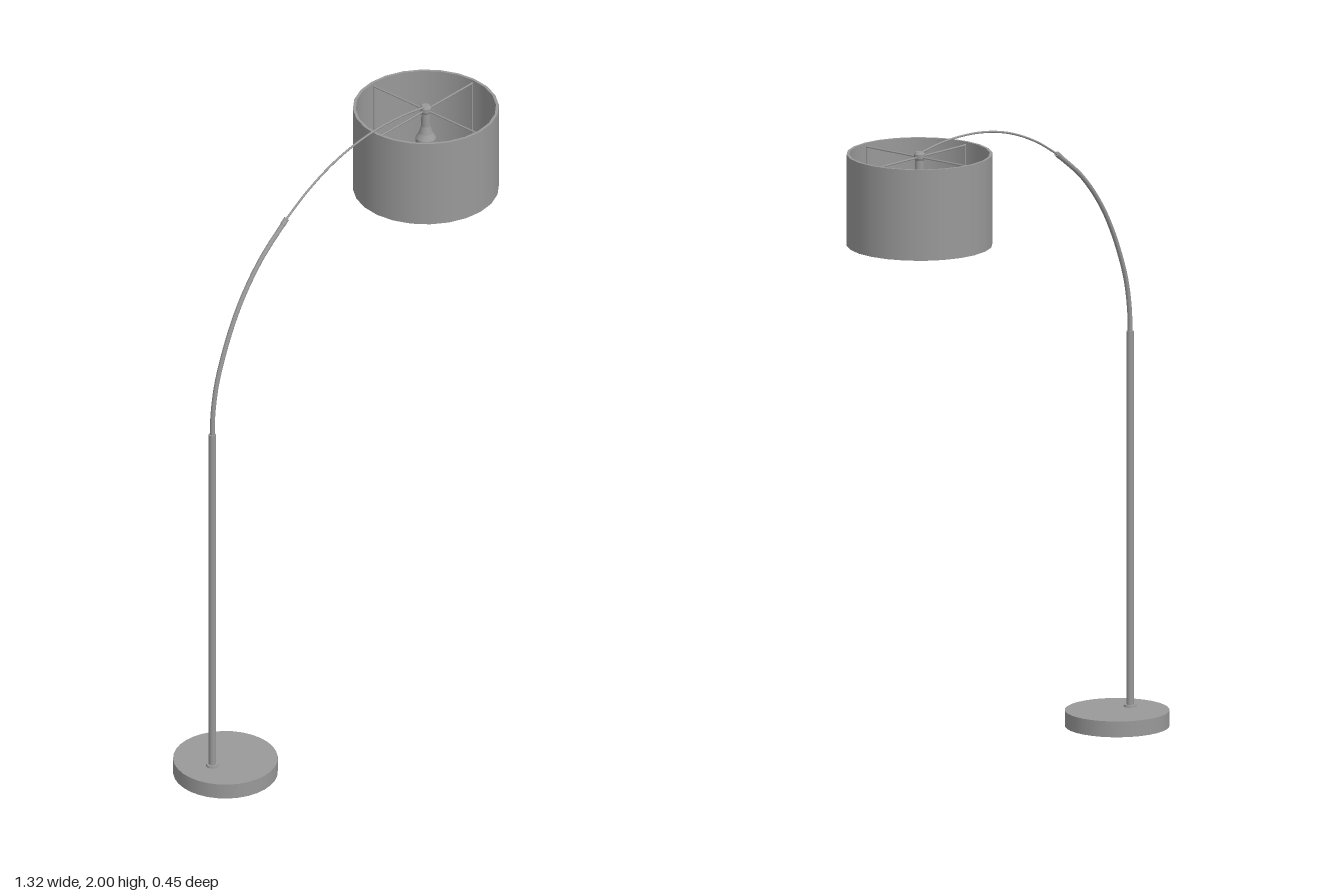
import * as THREE from 'three';

const material = new THREE.MeshStandardMaterial({ color: 0x999999, side: THREE.DoubleSide });
const POLE_X = -0.559, SHADE_X = 0.433, SHADE_R = 0.226, SHADE_BOTTOM = 1.688, SHADE_TOP = 1.976;

const v = (x, y, z = 0) => new THREE.Vector3(x, y, z);

function add(parent, name, geometry, x = 0, y = 0, z = 0) {
  const mesh = new THREE.Mesh(geometry, material);
  mesh.name = name;
  mesh.position.set(x, y, z);
  parent.add(mesh);
  return mesh;
}

// Solid of revolution; doubled points keep corners crisp
function lathe(points, segments) {
  const profile = points.flatMap(([r, y]) => [new THREE.Vector2(r, y), new THREE.Vector2(r, y)]);
  return new THREE.LatheGeometry(profile, segments);
}

// Straight rod between two points
function rod(parent, name, a, b, radius, sides = 8) {
  const mesh = add(parent, name, new THREE.CylinderGeometry(radius, radius, a.distanceTo(b), sides));
  mesh.position.copy(a).lerp(b, 0.5);
  mesh.quaternion.setFromUnitVectors(v(0, 1), b.clone().sub(a).normalize());
  return mesh;
}

export function createModel() {
  const lamp = new THREE.Group();
  lamp.name = 'arcFloorLamp';

  // Base and upright pole
  add(lamp, 'base', new THREE.CylinderGeometry(0.162, 0.162, 0.05, 32), -0.498, 0.025);
  add(lamp, 'poleCollar', new THREE.CylinderGeometry(0.019, 0.02, 0.007, 20), POLE_X, 0.0535);
  rod(lamp, 'pole', v(POLE_X, 0.05), v(POLE_X, 1.24), 0.0115, 16);

  // Arm in two telescoping pieces
  const lower = new THREE.CatmullRomCurve3([
    v(POLE_X, 1.22), v(-0.556, 1.31), v(-0.533, 1.43), v(-0.447, 1.625), v(-0.342, 1.76), v(-0.214, 1.862),
  ]);
  const upper = new THREE.CatmullRomCurve3([
    v(-0.23, 1.852), v(-0.12, 1.916), v(0, 1.964), v(0.115, 1.989), v(0.23, 1.997), v(0.34, 1.991), v(SHADE_X, 1.976),
  ]);
  add(lamp, 'lowerArm', new THREE.TubeGeometry(lower, 40, 0.0075, 10));
  add(lamp, 'upperArm', new THREE.TubeGeometry(upper, 40, 0.0034, 8));
  rod(lamp, 'armSleeve', lower.getPointAt(0.97), lower.getPointAt(1), 0.0085, 12);

  // Drum shade with a thin wall
  const shade = new THREE.Group();
  shade.name = 'shade';
  shade.position.x = SHADE_X;
  lamp.add(shade);
  const inner = SHADE_R - 0.009;
  add(shade, 'drum', lathe([
    [inner, SHADE_BOTTOM], [SHADE_R, SHADE_BOTTOM], [SHADE_R, SHADE_TOP], [inner, SHADE_TOP], [inner, SHADE_BOTTOM],
  ], 24));

  // Spider frame: four spokes with struts down the inner wall
  for (let i = 0; i < 4; i++) {
    const a = (i * Math.PI) / 2, r = inner - 0.002;
    const rim = (y) => v(Math.cos(a) * r, y, Math.sin(a) * r);
    rod(shade, 'spoke', v(0, 1.965), rim(1.965), 0.003);
    rod(shade, 'strut', rim(SHADE_BOTTOM + 0.004), rim(1.968), 0.003);
  }

  // Lamp holder hanging under the spider
  add(shade, 'lampHolder', lathe([
    [0, 1.982], [0.012, 1.982], [0.017, 1.975], [0.017, 1.962], [0.014, 1.955], [0.015, 1.91],
    [0.022, 1.885], [0.032, 1.868], [0.032, 1.835], [0, 1.835],
  ].reverse(), 20));

  return lamp;
}
